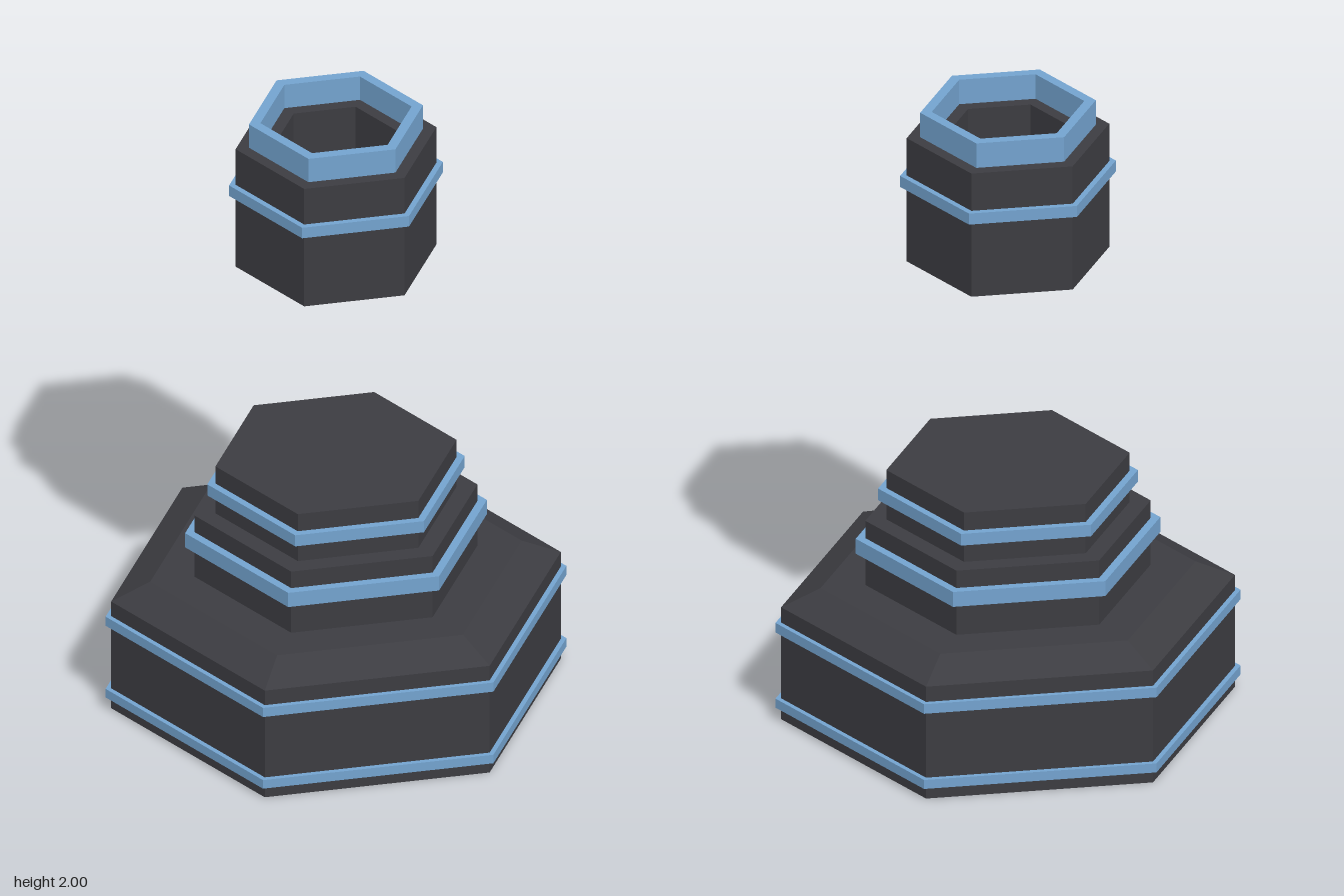
import * as THREE from 'three';

const dark = new THREE.MeshStandardMaterial({ color: 0x3c3c41, flatShading: true });
const blue = new THREE.MeshStandardMaterial({ color: 0x73a3cf, flatShading: true });

// Six-sided solid of revolution, corners on the z axis; profile is [radius, y]
function hex(name, profile, material) {
  const points = profile.map(([r, y]) => new THREE.Vector2(r, y));
  const mesh = new THREE.Mesh(new THREE.LatheGeometry(points, 6).toNonIndexed(), material);
  mesh.geometry.computeVertexNormals();
  mesh.name = name;
  return mesh;
}

// Closed hexagonal ring with a square section
function ring(name, outer, inner, y0, y1) {
  return hex(name, [[inner, y0], [outer, y0], [outer, y1], [inner, y1], [inner, y0]], blue);
}

export function createModel() {
  const model = new THREE.Group();
  model.name = 'hexagonalPedestal';

  // Stepped pedestal
  const pedestal = new THREE.Group();
  pedestal.name = 'pedestal';
  pedestal.add(
    hex('base', [[0, 0], [0.69, 0], [0.69, 0.375], [0.57, 0.43], [0, 0.43]], dark),
    hex('middleTier', [[0, 0.43], [0.434, 0.43], [0.434, 0.645], [0, 0.645]], dark),
    hex('upperTier', [[0, 0.645], [0.37, 0.645], [0.37, 0.81], [0, 0.81]], dark),
    ring('baseLowerBand', 0.707, 0.66, 0.04, 0.07),
    ring('baseUpperBand', 0.707, 0.66, 0.292, 0.324),
    ring('middleTierBand', 0.463, 0.4, 0.537, 0.587),
    ring('upperTierBand', 0.395, 0.34, 0.711, 0.75)
  );

  // Floating cup with a recessed top
  const cup = new THREE.Group();
  cup.name = 'floatingCup';
  cup.add(
    hex('cupBody', [[0, 1.505], [0.308, 1.505], [0.308, 1.918], [0.19, 1.918], [0.19, 1.65], [0, 1.65]], dark),
    ring('cupBand', 0.328, 0.28, 1.756, 1.793),
    ring('cupRim', 0.267, 0.232, 1.91, 2)
  );

  model.add(pedestal, cup);
  return model;
}
